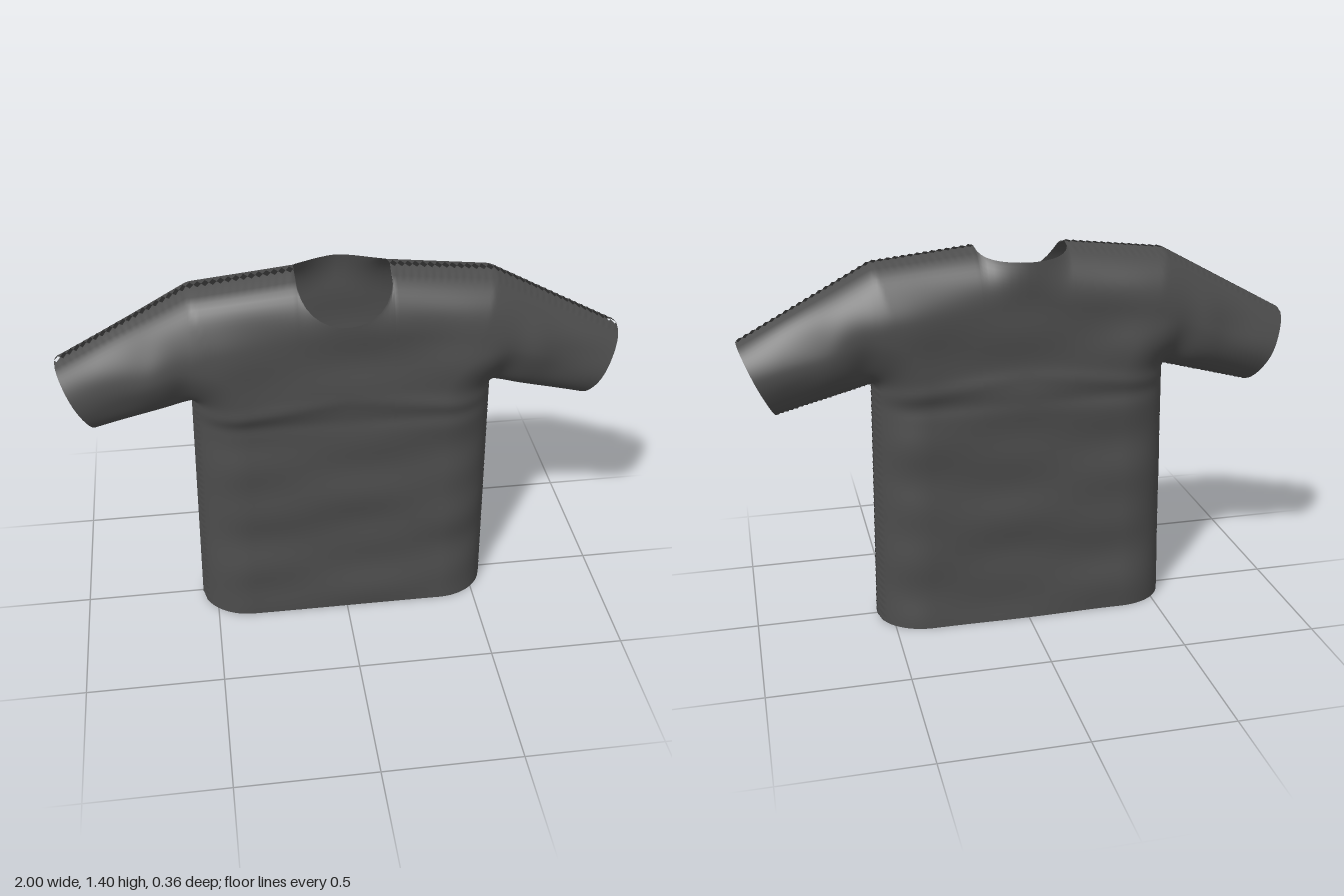
import * as THREE from 'three';
import { mergeVertices, mergeGeometries } from 'three/addons/utils/BufferGeometryUtils.js';

// Seam lines of the wearer's left half (mirrored through |x|)
const NECK = 0.165, SHOULDER = 0.53;
const topSeam = [[NECK, 1.4], [SHOULDER, 1.36], [1, 1.105]];
const underSeam = [[0.555, 0], [0.54, 0.925], [0.88, 0.835]];
const ARMPIT_Y = 0.925, SHOULDER_Y = 1.36;

// Grid counts, all even so the stitches alternate cleanly
const NECK_COLS = 8, SHOULDER_COLS = 28, BODY_ROWS = 68, CHEST_ROWS = 30, SLEEVE_COLS = 40;

const { lerp, clamp, smoothstep } = THREE.MathUtils;
const bump = (x, y, cx, cy, rx, ry) => Math.exp(-(((x - cx) / rx) ** 2) - ((y - cy) / ry) ** 2);

function seamDistance(x, y, line) {
  let best = Infinity;
  for (let i = 0; i < line.length - 1; i++) {
    const [ax, ay] = line[i], [bx, by] = line[i + 1];
    const dx = bx - ax, dy = by - ay;
    const t = clamp(((x - ax) * dx + (y - ay) * dy) / (dx * dx + dy * dy), 0, 1);
    best = Math.min(best, Math.hypot(x - ax - t * dx, y - ay - t * dy));
  }
  return best;
}

// Rounds a panel from a seam to its full depth
function roundOff(distance, radius) {
  const t = Math.min(1, distance / radius);
  return 1 - (1 - t) ** 2;
}

// Gentle cloth folds, different on front and back
function folds(x, y, side) {
  const a = Math.abs(x), p = side > 0 ? 0 : 1.7;
  let z = 0.0035 * Math.sin(15 * y + 3 * x + p) + 0.0025 * Math.sin(27 * y - 5 * x + 2 * p);
  z += 0.002 * Math.sin(11 * x + 9 * y + p) * Math.sin(19 * y + p);
  z += 0.018 * bump(a, y, 0.43, 1.06, 0.13, 0.16);
  z -= 0.02 * bump(a, y, 0.57, 0.99, 0.05, 0.1);
  z += 0.007 * bump(a, y, 0.3, 0.92 - 0.1 * (a - 0.3), 0.3, 0.03);
  z -= 0.006 * bump(a, y, 0.3, 0.86, 0.3, 0.03);
  z += 0.008 * bump(a, y, 0.68, 1.08 - 0.5 * (a - 0.68), 0.06, 0.12);
  return z;
}

function depth(x, y, side) {
  const a = Math.abs(x);
  const round = Math.sqrt(roundOff(seamDistance(a, y, topSeam), 0.2) * roundOff(seamDistance(a, y, underSeam), 0.19));
  const full = lerp(0.158, 0.13, smoothstep(a, 0.5, 0.85)) + 0.008 * (1 - smoothstep(y, 0, 0.3));
  return round * (full + folds(x, y, side));
}

const halfWidth = y => y < ARMPIT_Y
  ? lerp(0.555, 0.54, y / ARMPIT_Y)
  : lerp(0.54, SHOULDER, Math.min(1, (y - ARMPIT_Y) / (SHOULDER_Y - ARMPIT_Y)));

// Upper edge of the body: shoulder slope, then the neckline
function topEdge(x, side) {
  const a = Math.abs(x);
  if (a >= NECK) return lerp(1.4, SHOULDER_Y, (a - NECK) / (SHOULDER - NECK));
  const k = a / NECK;
  return side > 0 ? 1.4 - 0.15 * Math.sqrt(1 - k * k) : 1.4 - 0.036 * Math.sqrt(1 - k ** 4);
}

// Grid of cloth; every other seam point is held back as an open stitch
function clothGrid(cols, rows, place, side, flip) {
  const pos = [], index = [];
  for (let j = 0; j <= rows; j++) {
    for (let i = 0; i <= cols; i++) {
      const [x, y] = place(i, j);
      let z = depth(x, y, side);
      if (z < 0.001) z = (i + j) % 2 ? 0.022 : 0;
      pos.push(x, y, z * side);
      if (i === cols || j === rows) continue;
      const a = j * (cols + 1) + i, b = a + 1, d = a + cols + 1, c = d + 1;
      if (flip) index.push(a, c, b, a, d, c);
      else index.push(a, b, c, a, c, d);
    }
  }
  const geo = new THREE.BufferGeometry();
  geo.setAttribute('position', new THREE.Float32BufferAttribute(pos, 3));
  geo.setIndex(index);
  return geo;
}

// Body column position at shoulder level, closely spaced at the neck corners
function columnX(i) {
  const n = i - NECK_COLS - SHOULDER_COLS, k = Math.abs(n);
  const a = k <= NECK_COLS
    ? NECK * Math.sin((k / NECK_COLS) * Math.PI / 2)
    : lerp(NECK, SHOULDER, (k - NECK_COLS) / SHOULDER_COLS);
  return Math.sign(n) * a;
}

function panel(side) {
  const body = clothGrid(2 * (NECK_COLS + SHOULDER_COLS), BODY_ROWS + CHEST_ROWS, (i, j) => {
    const u = columnX(i);
    const y = j <= BODY_ROWS
      ? ARMPIT_Y * j / BODY_ROWS
      : lerp(ARMPIT_Y, topEdge(u, side), (j - BODY_ROWS) / CHEST_ROWS);
    return [u * halfWidth(y) / SHOULDER, y];
  }, side, side < 0);

  const sleeves = [1, -1].map(s => clothGrid(SLEEVE_COLS, CHEST_ROWS, (i, j) => {
    const t = i / SLEEVE_COLS, v = j / CHEST_ROWS;
    const rootY = lerp(ARMPIT_Y, SHOULDER_Y, v);
    const x = lerp(halfWidth(rootY), lerp(0.88, 1, v), t);
    return [s * x, lerp(rootY, lerp(0.835, 1.105, v), t)];
  }, side, side * s < 0));

  // Weld body and sleeves so the cloth shades smoothly across the armholes
  const geo = mergeVertices(mergeGeometries([body, ...sleeves]), 1e-4);
  geo.computeVertexNormals();
  return geo;
}

export function createModel() {
  const group = new THREE.Group();
  group.name = 'shirt';
  const cloth = new THREE.MeshStandardMaterial({ color: 0x4c4c4c, side: THREE.DoubleSide });
  cloth.name = 'charcoal cloth';
  for (const [name, side] of [['frontPanel', 1], ['backPanel', -1]]) {
    const mesh = new THREE.Mesh(panel(side), cloth);
    mesh.name = name;
    group.add(mesh);
  }
  return group;
}
